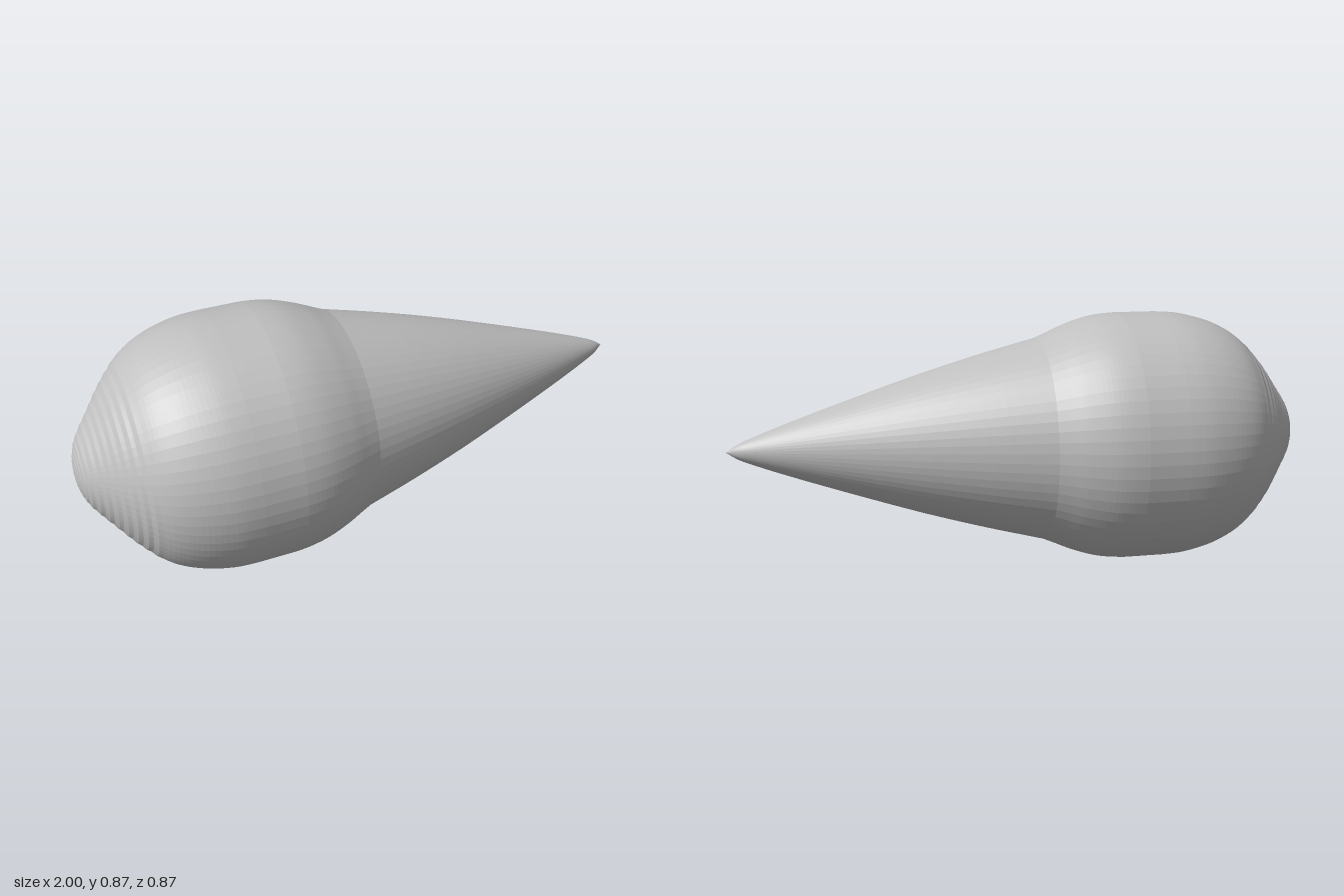
import * as THREE from 'three';

const RADIUS = 0.437;

// Lathe an (x, radius) profile around the x axis
function turned(name, points, steps, material, ripple = () => 0) {
  const curve = new THREE.CatmullRomCurve3(points.map(([x, r]) => new THREE.Vector3(r, x, 0)), false, 'centripetal');
  const profile = curve.getPoints(steps).map((p, i) => new THREE.Vector2(
    i === 0 || i === steps ? Math.max(0, p.x) : Math.max(0, Math.min(RADIUS, p.x + ripple(p.y, i))), p.y));
  const geometry = new THREE.LatheGeometry(profile, 64);
  geometry.rotateZ(-Math.PI / 2);
  const mesh = new THREE.Mesh(geometry, material);
  mesh.name = name;
  mesh.position.y = RADIUS;
  return mesh;
}

export function createModel() {
  const group = new THREE.Group();
  group.name = 'iceCreamCone';
  const grey = new THREE.MeshStandardMaterial({ color: 0xc0c0c0, flatShading: true });
  grey.name = 'grey';

  // Rounded scoop with fine ridges around its narrow end
  const ridges = (x, i) => (x < -0.8 ? (i % 2 ? 0.002 : -0.002) : 0);
  group.add(turned('scoop', [
    [-1, 0], [-0.995, 0.05], [-0.975, 0.107], [-0.915, 0.192], [-0.845, 0.283],
    [-0.765, 0.36], [-0.685, 0.402], [-0.58, 0.43], [-0.49, 0.437], [-0.35, 0.437],
    [-0.26, 0.426], [-0.17, 0.398], [-0.11, 0.372], [-0.07, 0.355],
  ], 78, grey, ridges));

  // Slightly bulging cone tapering to a point
  group.add(turned('cone', [
    [-0.07, 0.355], [0.13, 0.303], [0.34, 0.242], [0.6, 0.157],
    [0.8, 0.088], [0.9, 0.051], [0.96, 0.026], [1, 0],
  ], 36, grey));

  return group;
}
